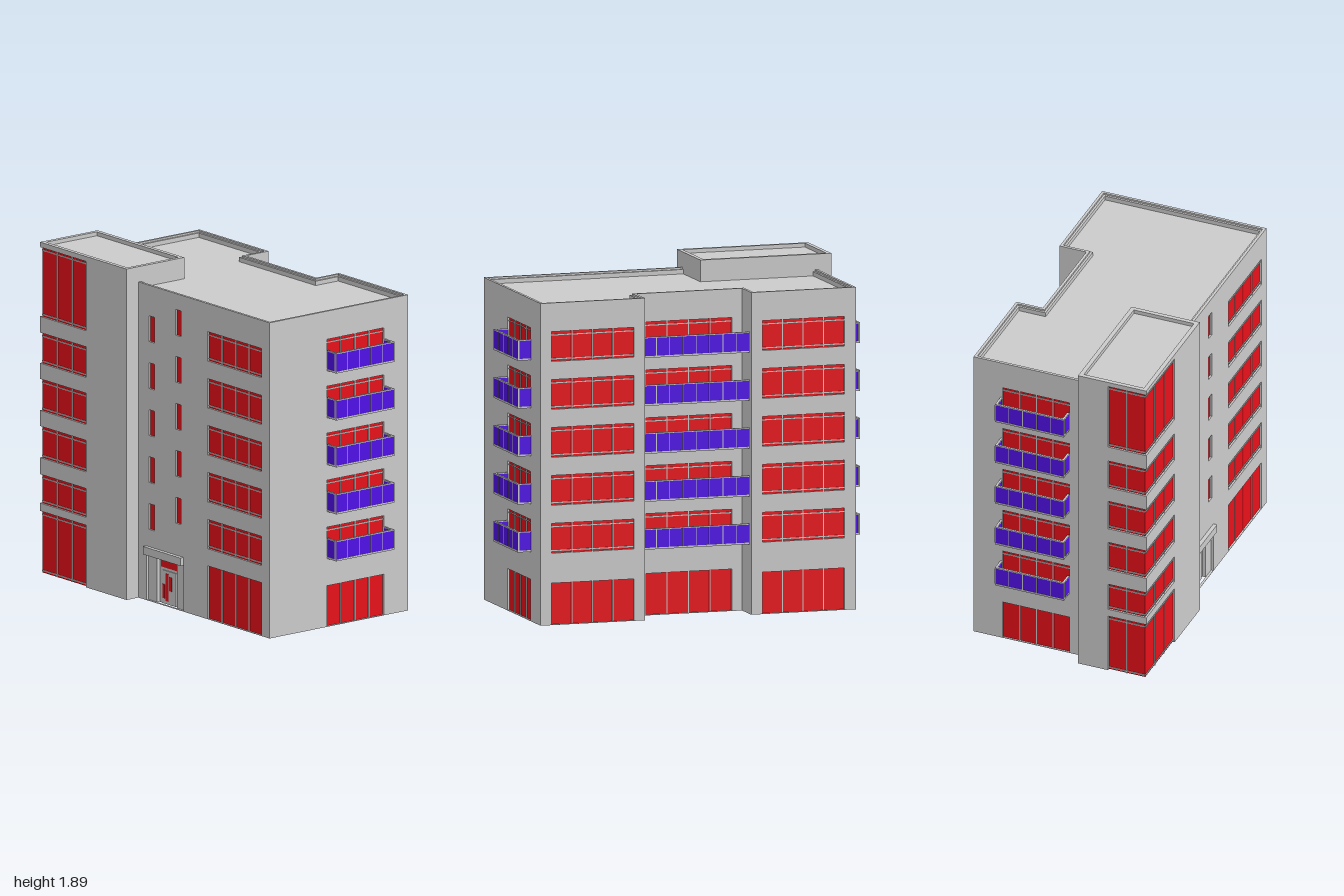
import * as THREE from 'three';

const grey = new THREE.MeshStandardMaterial({ color: 0xcccccc, side: THREE.DoubleSide });
const red = new THREE.MeshStandardMaterial({ color: 0xe8101a, side: THREE.DoubleSide });
const purple = new THREE.MeshStandardMaterial({ color: 0x5010e8, side: THREE.DoubleSide });
const T = 0.014; // wall thickness
const STEP = 0.2685; // storey height
const FLOORS = [0, 1, 2, 3, 4];

function add(parent, name, geometry, material = grey) {
  const mesh = new THREE.Mesh(geometry, material);
  mesh.name = name;
  parent.add(mesh);
  return mesh;
}

// Box given by its limits
function box(parent, name, x0, x1, y0, y1, z0, z1, material = grey) {
  const g = new THREE.BoxGeometry(x1 - x0, y1 - y0, z1 - z0);
  g.translate((x0 + x1) / 2, (y0 + y1) / 2, (z0 + z1) / 2);
  return add(parent, name, g, material);
}

function polygon(points) {
  return new THREE.Shape(points.map(([x, y]) => new THREE.Vector2(x, y)));
}

const rect = (x0, y0, x1, y1) => polygon([[x0, y0], [x1, y0], [x1, y1], [x0, y1]]);

// Horizontal slab from a plan in (x, -z)
function slab(parent, name, shape, y0, y1) {
  const g = new THREE.ExtrudeGeometry(shape, { depth: y1 - y0, bevelEnabled: false });
  g.rotateX(-Math.PI / 2);
  g.translate(0, y0, 0);
  return add(parent, name, g);
}

// Recessed glazing with glazing bars, in the wall's own plane
function glazing(parent, { u0, v0, u1, v1, panes = 1, rails = false }) {
  const win = new THREE.Group();
  win.name = 'window';
  parent.add(win);
  const glass = new THREE.PlaneGeometry(u1 - u0, v1 - v0);
  glass.translate((u0 + u1) / 2, (v0 + v1) / 2, -0.011);
  add(win, 'glass', glass, red);
  for (let i = 1; i < panes; i++) {
    const u = u0 + (u1 - u0) * i / panes;
    box(win, 'mullion', u - 0.003, u + 0.003, v0, v1, -0.013, -0.006);
  }
  if (rails) {
    for (const v of [v1 - 0.02, v0 + 0.013]) box(win, 'rail', u0, u1, v - 0.003, v + 0.003, -0.013, -0.006);
  }
}

// Wall with window openings; faces local +z
function wall(parent, name, u0, u1, height, windows, position, angle) {
  const group = new THREE.Group();
  group.name = name;
  const shape = rect(u0, 0, u1, height);
  for (const w of windows) {
    if (!w.open) glazing(group, w);
    shape.holes.push(rect(w.u0, w.v0, w.u1, w.v1));
  }
  const g = new THREE.ExtrudeGeometry(shape, { depth: T, bevelEnabled: false });
  g.translate(0, 0, -T);
  add(group, 'wallPanel', g);
  group.position.set(...position);
  group.rotation.y = angle;
  parent.add(group);
  return group;
}

// One column of upper windows above a ground-floor opening
function column(u0, u1, groundTop) {
  const upper = FLOORS.map(i => ({ u0, u1, v0: 0.403 + i * STEP, v1: 0.57 + i * STEP, panes: 4, rails: true }));
  return [{ u0, u1, v0: 0.003, v1: groundTop, panes: 4 }, ...upper];
}

const narrow = (u, v) => FLOORS.map(i => ({ u0: u, u1: u + 0.05, v0: v + i * STEP, v1: v + 0.147 + i * STEP }));

// Row of balustrade panels in the plane z = 0
function balustrade(parent, u0, u1, panels) {
  const row = new THREE.Group();
  row.name = 'balustrade';
  box(row, 'panels', u0, u1, 0.01, 0.11, -0.004, 0.004, purple);
  box(row, 'handrail', u0, u1, 0.11, 0.116, -0.006, 0.006);
  for (let i = 0; i <= panels; i++) {
    const u = u0 + (u1 - u0) * i / panels;
    box(row, 'post', u - 0.002, u + 0.002, 0.01, 0.11, -0.0055, 0.0055);
  }
  parent.add(row);
  return row;
}

// Balcony projecting along local +z from the wall
function balcony(parent, name, u0, u1, depth, panels, sides, position, angle) {
  const b = new THREE.Group();
  b.name = name;
  box(b, 'floorSlab', u0, u1, 0, 0.01, 0, depth);
  balustrade(b, u0, u1, panels).position.z = depth - 0.006;
  if (sides) {
    for (const u of [u0 + 0.006, u1 - 0.006]) {
      const side = balustrade(b, 0, depth - 0.006, 1);
      side.rotation.y = -Math.PI / 2;
      side.position.x = u;
    }
  }
  b.position.set(...position);
  b.rotation.y = angle;
  parent.add(b);
}

// Main block plan in (x, -z), inset by d
function plan(d) {
  const x = 0.92 - d, n = 0.31 + d, b = 0.535 - d, m = 0.375 - d, f = -0.45 + d;
  return [[-x, f], [x, f], [x, b], [n, b], [n, m], [-n, m], [-n, b], [-x, b]];
}

function ring(outer, inner) {
  const s = polygon(outer);
  s.holes.push(polygon(inner));
  return s;
}

function buildMain(root) {
  const main = new THREE.Group();
  main.name = 'mainBlock';
  root.add(main);
  const H = 1.77, PI = Math.PI;
  const entry = { u0: -0.165, u1: 0.162, v0: 0.002, v1: 0.267, open: true };
  wall(main, 'frontWall', -0.235, 0.92, H,
    [...column(0.375, 0.85, 0.305), ...narrow(-0.145, 0.409), ...narrow(0.09, 0.493), entry], [0, 0, 0.45], 0);
  wall(main, 'rightWall', -0.45, 0.535, H, column(-0.04, 0.363, 0.235), [0.92, 0, 0], PI / 2);
  wall(main, 'leftWall', -0.535, 0.125, H, column(-0.363, 0.04, 0.235), [-0.92, 0, 0], -PI / 2);
  wall(main, 'backWingWall', 0.31, 0.92, H, column(0.375, 0.855, 0.235), [0, 0, -0.535], PI);
  wall(main, 'backWingWall', -0.92, -0.31, H, column(-0.855, -0.375, 0.235), [0, 0, -0.535], PI);
  wall(main, 'recessWall', -0.322, 0.322, H, column(-0.25, 0.25, 0.235), [0, 0, -0.375], PI);
  for (const s of [0, 1]) {
    const x = s ? 0.31 : -0.31 - T;
    box(main, 'recessSide', x, x + T, 0, H, -0.535, -0.375);
  }
  // Roof and stepped parapet
  slab(main, 'roof', polygon(plan(0.005)), 1.755, 1.77);
  slab(main, 'parapet', ring(plan(0), plan(0.016)), 1.765, 1.805);
  slab(main, 'parapetStep', ring(plan(0.015), plan(0.028)), 1.765, 1.795);

  for (const i of FLOORS) {
    const y = 0.39 + i * STEP;
    balcony(main, 'rightBalcony', -0.04, 0.373, 0.08, 5, true, [0.92, y, 0], PI / 2);
    balcony(main, 'leftBalcony', -0.373, 0.04, 0.08, 5, true, [-0.92, y, 0], -PI / 2);
    balcony(main, 'backBalcony', -0.31, 0.31, 0.13, 8, false, [0, y, -0.375], PI);
  }
}

function buildEntrance(root) {
  const e = new THREE.Group();
  e.name = 'entrance';
  root.add(e);
  box(e, 'canopy', -0.168, 0.162, 0.265, 0.31, 0.44, 0.473);
  for (const [a, b] of [[-0.165, -0.09], [0.086, 0.162]]) box(e, 'jamb', a, b, 0, 0.267, 0.415, 0.435);
  box(e, 'doorSurround', -0.09, 0.086, 0, 0.267, 0.405, 0.415);
  box(e, 'transomWindow', -0.077, 0.073, 0.205, 0.253, 0.414, 0.417, red);
  box(e, 'door', -0.065, 0.06, 0, 0.19, 0.412, 0.42);
  for (const [a, b, c, d] of [[-0.059, -0.038, 0.03, 0.11], [-0.029, -0.006, 0.018, 0.175], [0.002, 0.024, 0.08, 0.16]]) {
    box(e, 'doorLight', a, b, c, d, 0.419, 0.423, red);
  }
}

function buildTower(root) {
  const t = new THREE.Group();
  t.name = 'cornerTower';
  root.add(t);
  const H = 1.87, X = -0.595, Z = 0.305, low = 0.36;
  box(t, 'frontWall', X, -0.235, 0, H, 0.535 - T, 0.535);
  box(t, 'leftWall', -1, -1 + T, 0, H, 0.125, Z);
  box(t, 'backWall', -1, -0.92, 0, low, 0.125, 0.125 + T);
  box(t, 'backWall', -1, -0.235, low, H, 0.125, 0.125 + T);
  box(t, 'rightWall', -0.235 - T, -0.235, 0, low, 0.45 - T, 0.535);
  box(t, 'rightWall', -0.235 - T, -0.235, low, H, 0.125, 0.535);
  box(t, 'ceiling', -0.99, -0.24, low, low + 0.01, 0.13, 0.525);

  // Bands wrapping the corner, with glazing set back between them
  const bands = [[0.355, 0.4], [0.565, 0.66], [0.84, 0.93], [1.11, 1.2], [1.375, 1.467], [1.867, 1.89]];
  let bottom = 0.003;
  for (const [y0, y1] of bands) {
    if (y1 < 1.8) box(t, 'cornerBand', -1, X, y0, y1, Z, 0.535);
    const front = new THREE.Group();
    front.name = 'frontGlazing';
    glazing(front, { u0: -0.99, u1: X, v0: bottom, v1: y0, panes: 3, rails: true });
    front.position.z = 0.535;
    const side = new THREE.Group();
    side.name = 'sideGlazing';
    glazing(side, { u0: Z, u1: 0.525, v0: bottom, v1: y0, panes: 2, rails: true });
    side.position.x = -1;
    side.rotation.y = -Math.PI / 2;
    t.add(front, side);
    bottom = y1;
  }
  // Roof and parapet
  const outline = d => [[-1 + d, -0.535 + d], [-0.235 - d, -0.535 + d], [-0.235 - d, -0.125 - d], [-1 + d, -0.125 - d]];
  slab(t, 'roof', polygon(outline(0.003)), 1.862, 1.87);
  slab(t, 'parapet', ring(outline(0), outline(0.025)), 1.866, 1.892);
}

export function createModel() {
  const root = new THREE.Group();
  root.name = 'apartmentBuilding';
  buildMain(root);
  buildEntrance(root);
  buildTower(root);
  return root;
}
